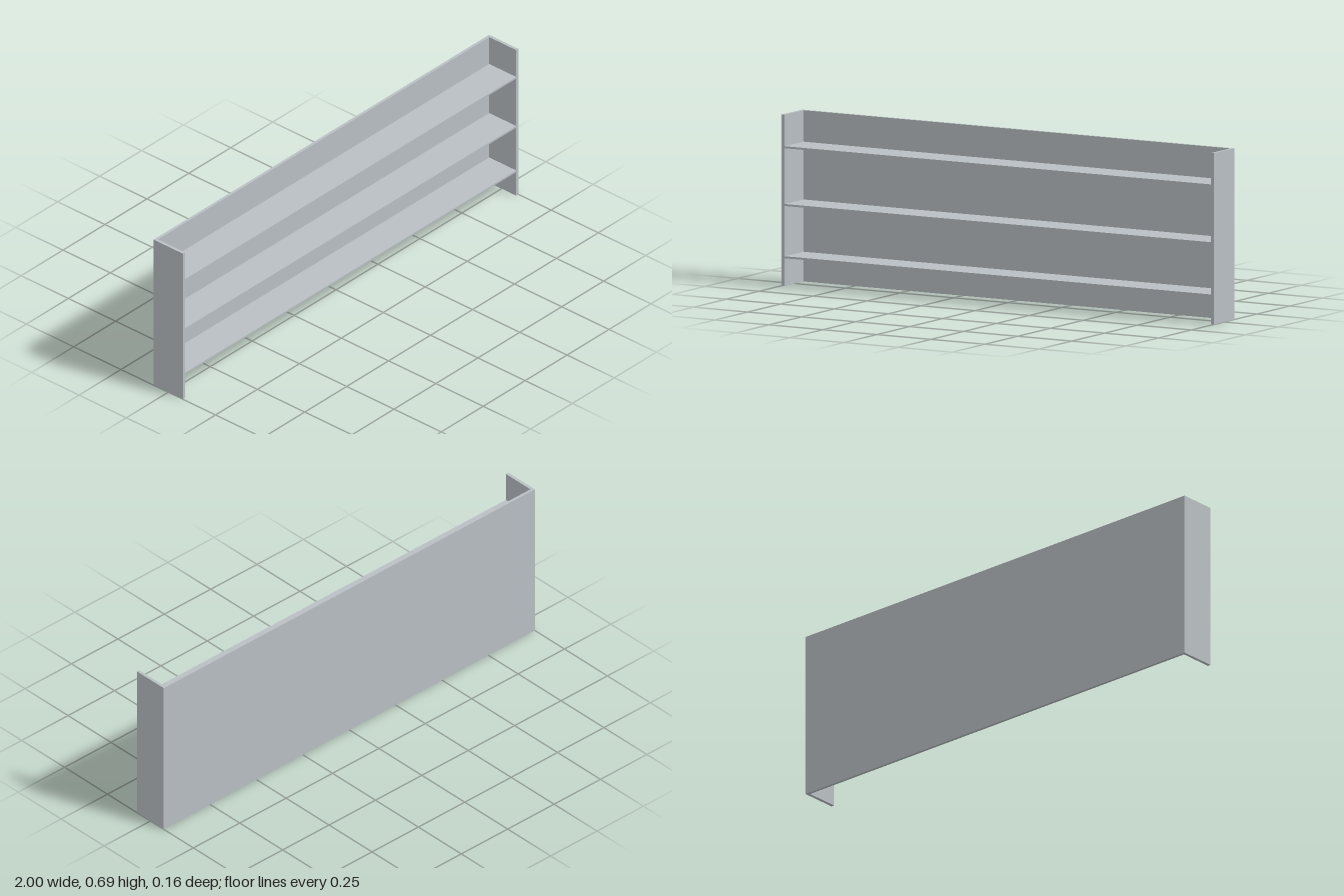
import * as THREE from 'three';

export function createModel() {
  const model = new THREE.Group();
  model.name = 'wallShelf';
  const paint = new THREE.MeshStandardMaterial({ color: 0xb8bfc2 });
  paint.name = 'pale grey';

  const width = 2, height = 0.685, depth = 0.155;
  const side = 0.013, back = 0.012, shelf = 0.008;
  const inner = width - 2 * side;

  const addBoard = (name, w, h, d, x, y, z) => {
    const board = new THREE.Mesh(new THREE.BoxGeometry(w, h, d), paint);
    board.name = name;
    board.position.set(x, y, z);
    model.add(board);
  };

  // Upright end panels
  for (const [name, s] of [['leftSide', 1], ['rightSide', -1]]) {
    addBoard(name, side, height, depth, s * (width - side) / 2, height / 2, 0);
  }

  // Back panel between the ends
  addBoard('backPanel', inner, height, back, 0, height / 2, (back - depth) / 2);

  // Three shelves, running from the back panel to the front edge
  [0.115, 0.324, 0.555].forEach((y, i) => {
    addBoard(`shelf${i + 1}`, inner, shelf, depth - back, 0, y, back / 2);
  });

  return model;
}
